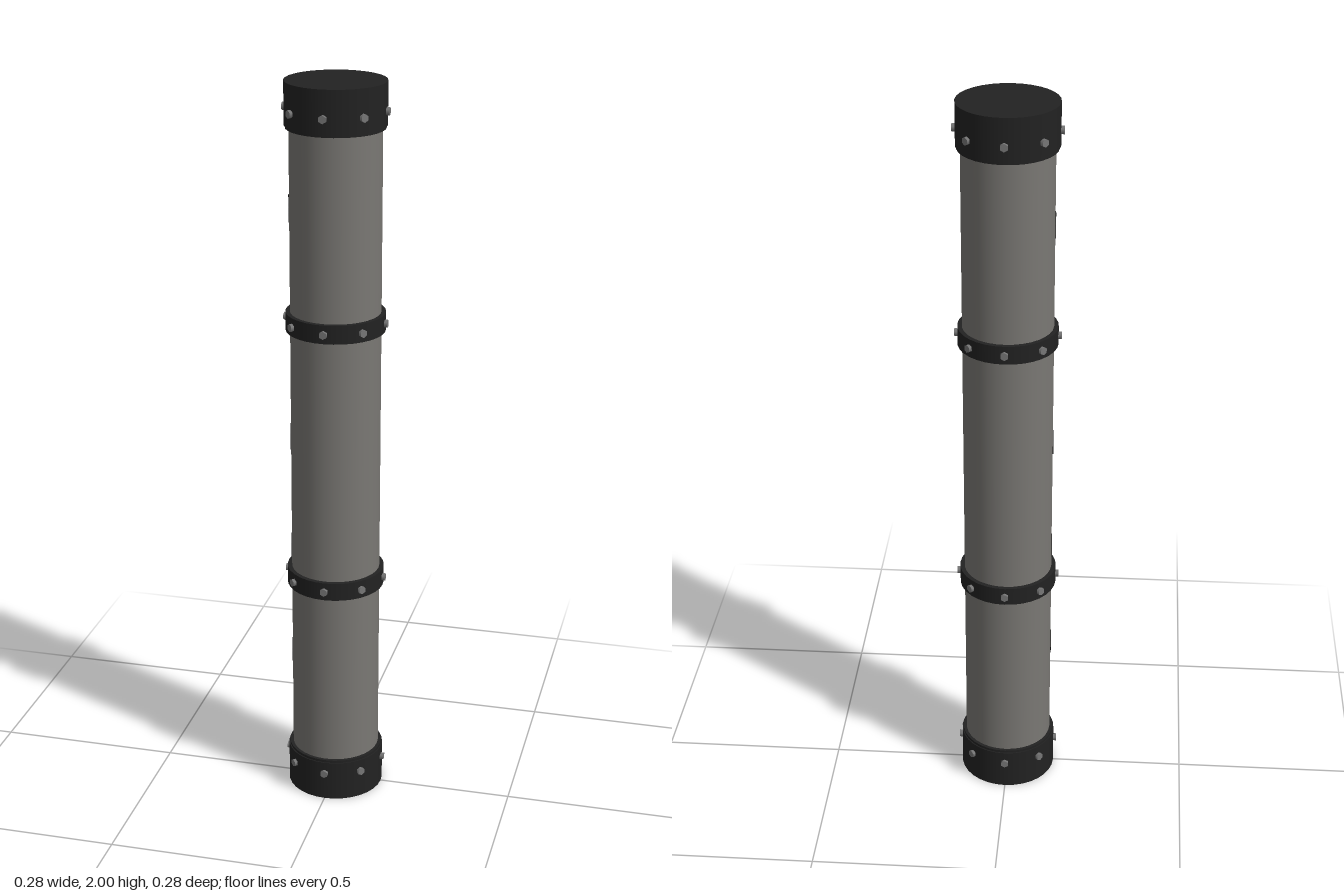
import * as THREE from 'three';

const steel = new THREE.MeshStandardMaterial({ name: 'greySteel', color: 0x7a7874 });
const iron = new THREE.MeshStandardMaterial({ name: 'blackIron', color: 0x222222 });
const boltMetal = new THREE.MeshStandardMaterial({ name: 'boltMetal', color: 0x777777 });
const soot = new THREE.MeshStandardMaterial({ name: 'soot', color: 0x111111, side: THREE.DoubleSide });

const TUBE_R = 0.12, BAND_R = 0.132;

function createCylinder(name, radius, y0, y1, material) {
  const mesh = new THREE.Mesh(new THREE.CylinderGeometry(radius, radius, y1 - y0, 32), material);
  mesh.position.y = (y0 + y1) / 2;
  mesh.name = name;
  return mesh;
}

// Eight hexagonal bolt heads pointing outwards
function createBoltRing(y) {
  const ring = new THREE.Group();
  ring.name = 'boltRing';
  const geometry = new THREE.CylinderGeometry(0.011, 0.011, 0.016, 6).rotateX(Math.PI / 2);
  for (let i = 0; i < 8; i++) {
    const a = (i * Math.PI) / 4;
    const bolt = new THREE.Mesh(geometry, boltMetal);
    bolt.name = 'bolt';
    bolt.position.set(Math.sin(a) * 0.132, y, Math.cos(a) * 0.132);
    bolt.rotation.y = a;
    ring.add(bolt);
  }
  return ring;
}

// Ragged round mark wrapped onto the tube's -x side
function createMark(y) {
  const shape = new THREE.Shape();
  const points = 32;
  for (let i = 0; i < points; i++) {
    const a = (i / points) * Math.PI * 2;
    const r = i % 2 ? 0.033 : 0.041;
    shape[i ? 'lineTo' : 'moveTo'](Math.cos(a) * r * 0.85, Math.sin(a) * r);
  }
  // Fan from the centre, two rings deep, so that the mark follows the curve
  const rim = shape.getPoints().slice(0, points);
  const positions = [], index = [];
  const wrap = (u, v) => {
    const a = 0.16 + u / TUBE_R, r = TUBE_R + 0.0015;
    positions.push(-Math.cos(a) * r, y + v, Math.sin(a) * r);
  };
  wrap(0, 0);
  for (const s of [0.5, 1]) rim.forEach((p) => wrap(p.x * s, p.y * s));
  for (let i = 0; i < points; i++) {
    const a = 1 + i, b = 1 + ((i + 1) % points);
    index.push(0, a, b, a, a + points, b + points, a, b + points, b);
  }
  const geometry = new THREE.BufferGeometry();
  geometry.setAttribute('position', new THREE.Float32BufferAttribute(positions, 3));
  geometry.setIndex(index);
  geometry.computeVertexNormals();
  const mark = new THREE.Mesh(geometry, soot);
  mark.name = 'sootMark';
  return mark;
}

export function createModel() {
  const model = new THREE.Group();
  model.name = 'pipe';

  model.add(createCylinder('tube', TUBE_R, 0.02, 1.98, steel));

  // End caps with a thin lip where they meet the tube
  model.add(createCylinder('bottomCap', BAND_R, 0, 0.113, iron));
  model.add(createCylinder('bottomCapLip', BAND_R - 0.003, 0.113, 0.12, iron));
  model.add(createCylinder('topCap', BAND_R, 1.887, 2, iron));
  model.add(createCylinder('topCapLip', BAND_R - 0.003, 1.88, 1.887, iron));

  // Middle bands
  for (const y of [0.642, 1.37]) model.add(createCylinder('band', BAND_R, y - 0.025, y + 0.025, iron));

  for (const y of [0.08, 0.642, 1.37, 1.927]) model.add(createBoltRing(y));
  for (const y of [0.4, 0.72, 1.04, 1.67]) model.add(createMark(y));

  return model;
}
